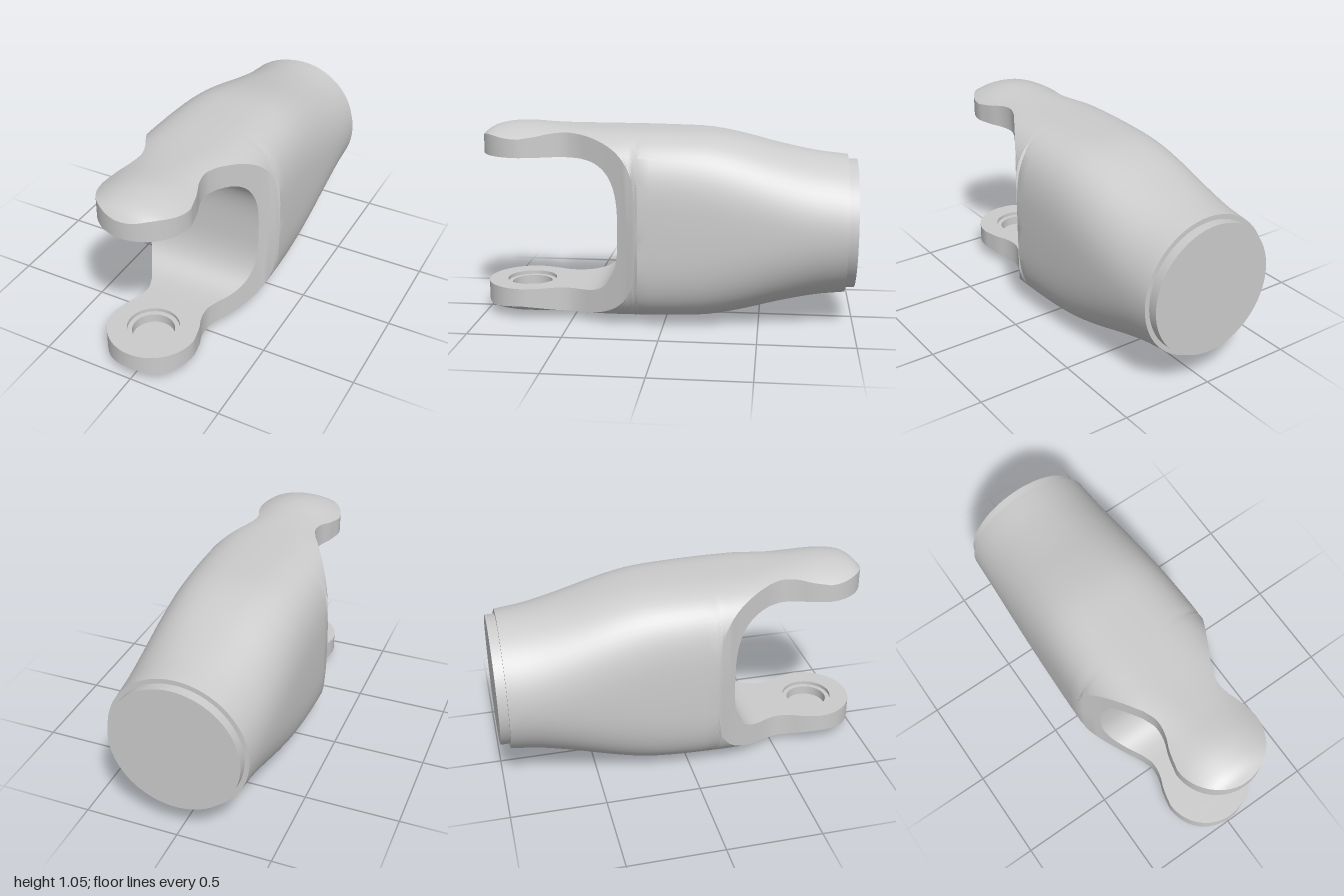
import * as THREE from 'three';
import { toCreasedNormals } from 'three/addons/utils/BufferGeometryUtils.js';

const MID = 0.53;        // height of the long axis
const SLOT_BACK = 0.23, SLOT_FLAT = 0.5, SLOT_HALF = 0.357;
const LUG_Z = 0.763, LUG_R = 0.237;

// Smooth interpolation through [z, value] pairs
function curve(keys) {
  const slope = (i) => {
    const a = keys[Math.max(i - 1, 0)], b = keys[Math.min(i + 1, keys.length - 1)];
    return (b[1] - a[1]) / (b[0] - a[0]);
  };
  return (z) => {
    let i = 0;
    while (i < keys.length - 2 && z > keys[i + 1][0]) i++;
    const [z0, v0] = keys[i], [z1, v1] = keys[i + 1], h = z1 - z0;
    const t = THREE.MathUtils.clamp((z - z0) / h, 0, 1), t2 = t * t, t3 = t2 * t;
    return (2 * t3 - 3 * t2 + 1) * v0 + (t3 - 2 * t2 + t) * h * slope(i)
      + (3 * t2 - 2 * t3) * v1 + (t3 - t2) * h * slope(i + 1);
  };
}

// Section half width, half height and squareness along the axis
const halfWidth = curve([[-0.95, 0.368], [-0.5, 0.386], [0, 0.395], [0.12, 0.395], [0.4, 0.4], [0.75, 0.45], [1, 0.45]]);
const halfHeight = curve([[-0.95, 0.368], [-0.8, 0.383], [-0.6, 0.42], [-0.4, 0.467], [-0.23, 0.495], [0, 0.501],
  [0.4, 0.505], [0.6, 0.514], [0.78, 0.525], [0.9, 0.511], [0.96, 0.487], [1, 0.45]]);
const power = curve([[-0.95, 2], [-0.75, 2.15], [-0.4, 2.7], [0, 3.3], [0.35, 3.3], [0.55, 2.5], [0.75, 2.1], [1, 2.1]]);

// Plan outline that narrows the body into the waisted arms and round lugs
const waist = curve([[0.12, 0.395], [0.25, 0.315], [0.4, 0.228], [0.47, 0.19], [0.53, 0.178], [0.6, 0.188], [0.67, 0.215], [LUG_Z, LUG_R]]);
function planWidth(z) {
  if (z <= 0.12) return halfWidth(z);
  if (z < LUG_Z) return Math.min(waist(z), halfWidth(z));
  return Math.sqrt(Math.max(0, LUG_R ** 2 - (z - LUG_Z) ** 2));
}

// Half height of the slot between the arms
function slotHalf(z) {
  if (z <= SLOT_BACK) return 0;
  if (z >= SLOT_FLAT) return SLOT_HALF;
  const k = (SLOT_FLAT - z) / (SLOT_FLAT - SLOT_BACK);
  return SLOT_HALF * Math.cbrt(1 - k ** 3);
}

// Stations along z, closer together at the curved places
function steps(n, f) {
  return Array.from({ length: n }, (_, i) => f((i + 1) / n));
}
const slotRows = [SLOT_BACK, ...steps(16, (t) =>
  SLOT_FLAT - (SLOT_FLAT - SLOT_BACK) * Math.max(0, Math.cos(t * Math.PI / 2)) ** (2 / 3))];
const neckRows = steps(12, (t) => SLOT_FLAT + (LUG_Z - SLOT_FLAT) * t);
const lugRows = steps(14, (t) => LUG_Z + LUG_R * Math.sin(t * Math.PI / 2));
const rows = [-0.95, ...steps(18, (t) => -0.95 + 1.07 * t), ...steps(4, (t) => 0.12 + 0.11 * t),
  ...slotRows.slice(1), ...neckRows, ...lugRows];

// Upper half of a section: side wall, crown, side wall
function crownRow(z) {
  const w = planWidth(z), a = halfWidth(z), b = halfHeight(z), e = 2 / power(z), s = slotHalf(z);
  const end = Math.asin(Math.min(1, (w / a) ** (1 / e)));
  const pts = [[-w, s, z]], n = 32;
  for (let j = 0; j <= n; j++) {
    const p = end * (2 * j / n - 1);
    pts.push([Math.sign(p) * a * Math.abs(Math.sin(p)) ** e, b * Math.max(0, Math.cos(p)) ** e, z]);
  }
  pts.push([w, s, z]);
  return pts;
}
const slotRow = (z) => [[-planWidth(z), slotHalf(z), z], [planWidth(z), slotHalf(z), z]];

// Skin rows of points, together with their mirror below the axis
function skin(rings, inward) {
  const pos = [];
  for (const side of [1, -1]) {
    const flip = (side < 0) !== inward;
    const tri = (a, b, c) => {
      for (const p of flip ? [a, c, b] : [a, b, c]) pos.push(p[0], MID + side * p[1], p[2]);
    };
    for (let i = 0; i < rings.length - 1; i++) {
      const r = rings[i], q = rings[i + 1];
      for (let j = 0; j < r.length - 1; j++) {
        tri(r[j], q[j], r[j + 1]);
        tri(r[j + 1], q[j], q[j + 1]);
      }
    }
  }
  const g = new THREE.BufferGeometry();
  g.setAttribute('position', new THREE.Float32BufferAttribute(pos, 3));
  return toCreasedNormals(g, 0.6);
}

export function createModel() {
  const model = new THREE.Group();
  model.name = 'forkJoint';
  const material = new THREE.MeshStandardMaterial({ color: 0xcccccc });
  const inside = new THREE.MeshStandardMaterial({ color: 0xcccccc, side: THREE.DoubleSide });
  const add = (parent, name, geometry, mat = material) => {
    const mesh = new THREE.Mesh(geometry, mat);
    mesh.name = name;
    parent.add(mesh);
    return mesh;
  };

  // Body with both arms, and the rounded slot between them
  add(model, 'bodyAndArms', skin(rows.map(crownRow), false));
  add(model, 'slot', skin(slotRows.map(slotRow), true));

  // Round rear shoulder and stepped collar
  const shoulder = add(model, 'rearShoulder', new THREE.CircleGeometry(0.368, 64));
  shoulder.rotation.y = Math.PI;
  shoulder.position.set(0, MID, -0.95);
  const collar = add(model, 'rearCollar', new THREE.CylinderGeometry(0.343, 0.343, 0.06, 64));
  collar.rotation.x = Math.PI / 2;
  collar.position.set(0, MID, -0.97);

  // Inner faces of the lugs, each with a stepped blind socket
  const edge = [SLOT_FLAT, ...neckRows, ...lugRows].map((z) => new THREE.Vector2(planWidth(z), z));
  const mirrored = edge.slice(0, -1).reverse().map((p) => new THREE.Vector2(-p.x, p.y));
  const face = new THREE.Shape([...edge, ...mirrored]);
  face.holes.push(new THREE.Path().absarc(0, LUG_Z, 0.135, 0, Math.PI * 2, true));
  const faceGeometry = new THREE.ShapeGeometry(face, 24).rotateX(Math.PI / 2);
  const socketProfile = [[0, 0.07], [0.11, 0.07], [0.11, 0.02], [0.135, 0.02], [0.135, 0]]
    .map(([r, y]) => new THREE.Vector2(r, y));
  const socketGeometry = toCreasedNormals(new THREE.LatheGeometry(socketProfile, 48), 0.6);
  for (const [name, turn] of [['upperLug', 0], ['lowerLug', Math.PI]]) {
    const lug = new THREE.Group();
    lug.name = name;
    lug.position.y = MID;
    lug.rotation.z = turn;
    add(lug, 'innerFace', faceGeometry, inside).position.y = SLOT_HALF;
    add(lug, 'socket', socketGeometry, inside).position.set(0, SLOT_HALF, LUG_Z);
    model.add(lug);
  }
  return model;
}
